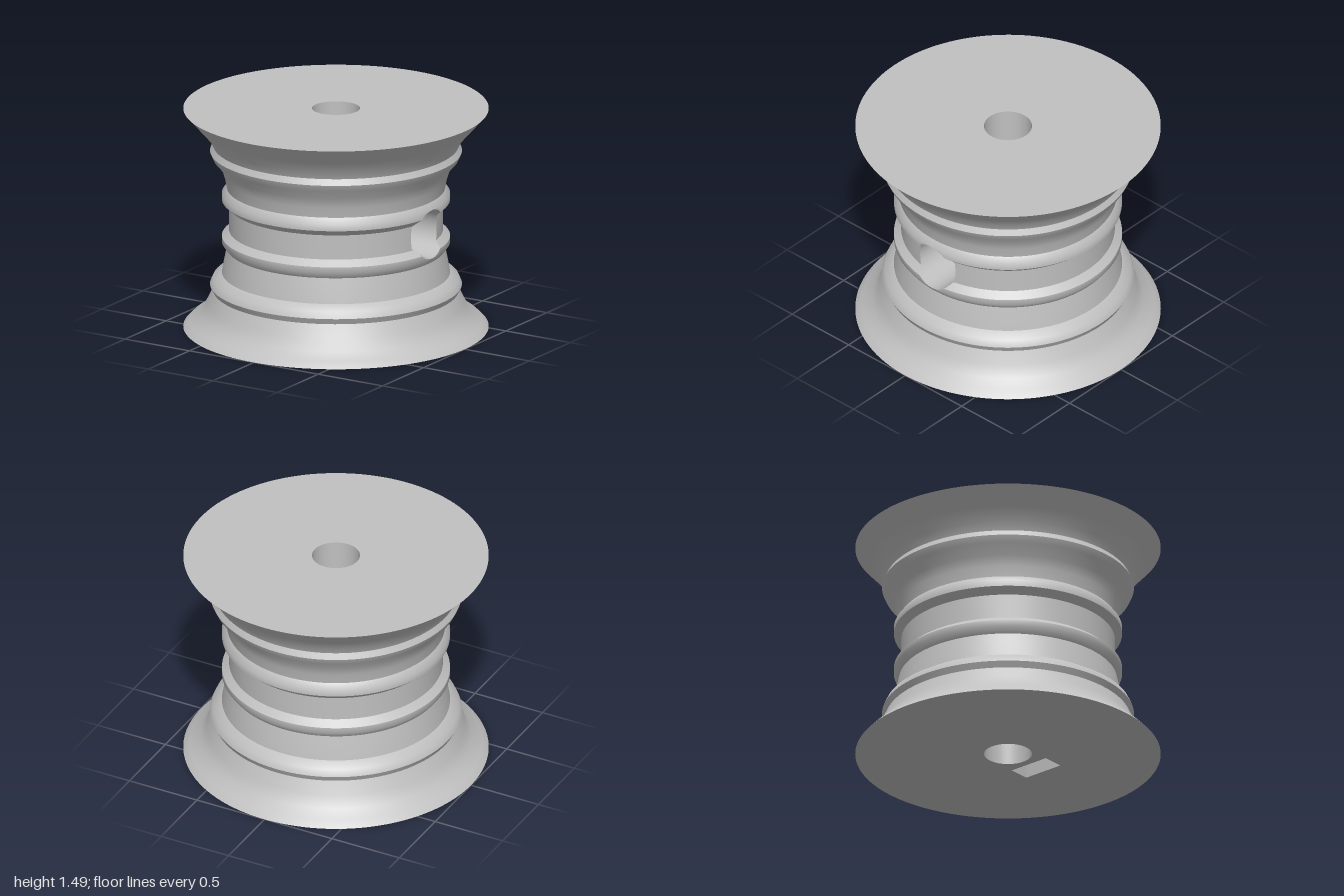
import * as THREE from 'three';
import { mergeGeometries, toCreasedNormals } from 'three/addons/utils/BufferGeometryUtils.js';

const HOLE_Y = 0.745;      // height of the radial screw hole
const HEAD_R = 0.165;      // counterbore radius
const SCREW_R = 0.084;     // screw hole radius
const BORE_R = 0.157;      // axle bore radius
const FLOOR_X = 0.45;      // counterbore floor
const TOP = 1.487;
const SLOT = { x0: 0.21, x1: 0.358, z: 0.147, top: 0.9 };

// Outer profile [radius, height], bottom to top
const PROFILE = [
  [1, 0], [0.957, 0.043], [0.888, 0.085], [0.845, 0.165], [0.805, 0.25], [0.825, 0.29],
  [0.805, 0.335], [0.747, 0.37], [0.735, 0.44], [0.715, 0.537], [0.747, 0.58], [0.747, 0.62],
  [0.7, 0.66], [0.7, HOLE_Y], [0.7, 0.825], [0.747, 0.867], [0.747, 0.91], [0.715, 0.95],
  [0.728, 1.02], [0.75, 1.09], [0.805, 1.155], [0.825, 1.2], [0.805, 1.24],
  [0.83, 1.295], [0.893, 1.37], [1, TOP],
];
const BORE = [[BORE_R, TOP], [BORE_R, HOLE_Y], [BORE_R, 0]];

// Radius of a profile at a height
function radiusAt(profile, y) {
  for (let i = 1; i < profile.length; i++) {
    const [r0, y0] = profile[i - 1], [r1, y1] = profile[i];
    if ((y - y0) * (y - y1) <= 0) return r0 + (r1 - r0) * (y - y0) / (y1 - y0);
  }
  return profile[0][0];
}

// Turned wall with a round hole towards +x: a plain lathe, plus a wedge whose
// rows are pushed away from the hole
function piercedWall(profile, holeR) {
  const toPoints = (list) => list.map(([r, y]) => new THREE.Vector2(r, y));
  const half = Math.asin(holeR / radiusAt(profile, HOLE_Y));
  const parts = [new THREE.LatheGeometry(toPoints(profile), 120, Math.PI / 2 + half, 2 * Math.PI - 2 * half)];
  for (const side of [1, -1]) {
    const rows = profile.filter(([, y]) => (y - HOLE_Y) * side >= 0);
    const columns = 40;
    const wedge = new THREE.LatheGeometry(toPoints(rows), columns, 0, 1);
    const pos = wedge.attributes.position;
    for (let c = 0; c <= columns; c++) {
      const a = half * Math.sin((c / columns - 0.5) * Math.PI);
      let gap = c % columns === 0 ? 0 : holeR;
      for (let k = 0; k < 12 && gap > 0; k++) {
        const z = radiusAt(profile, HOLE_Y + side * gap) * Math.sin(a);
        gap = Math.sqrt(Math.max(0, holeR * holeR - z * z));
      }
      rows.forEach(([, rowY], j) => {
        const y = HOLE_Y + side * Math.max(gap, (rowY - HOLE_Y) * side);
        const r = radiusAt(profile, y);
        pos.setXYZ(c * rows.length + j, r * Math.cos(a), y, -r * Math.sin(a));
      });
    }
    parts.push(wedge);
  }
  return toCreasedNormals(mergeGeometries(parts), 0.7);
}

// Tube along x whose two ends follow x = inner(y, z) and x = outer(y, z)
function radialTube(radius, inner, outer) {
  const geo = new THREE.CylinderGeometry(radius, radius, 1, 96, 1, true);
  geo.rotateZ(-Math.PI / 2);
  const pos = geo.attributes.position;
  for (let i = 0; i < pos.count; i++) {
    const y = pos.getY(i) + HOLE_Y, z = pos.getZ(i);
    pos.setXYZ(i, pos.getX(i) > 0 ? outer(y, z) : inner(y, z), y, z);
  }
  return geo;
}

function circlePath(r, y = 0) {
  return new THREE.Path().absarc(0, y, r, 0, Math.PI * 2, true);
}

function rectangle(Type, x0, y0, x1, y1) {
  return new Type([[x0, y0], [x1, y0], [x1, y1], [x0, y1]].map(([x, y]) => new THREE.Vector2(x, y)));
}

export function createModel() {
  const group = new THREE.Group();
  const grey = new THREE.MeshStandardMaterial({ color: 0xc0c0c0, side: THREE.DoubleSide });
  grey.name = 'light grey';
  const add = (name, geometry) => {
    const mesh = new THREE.Mesh(geometry, grey);
    mesh.name = name;
    group.add(mesh);
    return mesh;
  };
  const onWall = (profile) => (y, z) => Math.sqrt(radiusAt(profile, y) ** 2 - z * z);

  // Turned body and axle bore
  add('groovedBody', piercedWall(PROFILE, HEAD_R));
  add('axleBore', piercedWall(BORE, SCREW_R));

  // Flat end faces; the lower one opens into the nut slot
  add('topFace', new THREE.RingGeometry(BORE_R, 1, 128).rotateX(-Math.PI / 2)).position.y = TOP;
  const base = new THREE.Shape().absarc(0, 0, 1, 0, Math.PI * 2, false);
  base.holes.push(circlePath(BORE_R), rectangle(THREE.Path, SLOT.x0, -SLOT.z, SLOT.x1, SLOT.z));
  add('bottomFace', new THREE.ShapeGeometry(base, 128).rotateX(Math.PI / 2));

  // Counterbored screw hole
  add('counterboreWall', radialTube(HEAD_R, () => FLOOR_X, onWall(PROFILE)));
  add('counterboreFloor', new THREE.RingGeometry(SCREW_R, HEAD_R, 96).rotateY(Math.PI / 2))
    .position.set(FLOOR_X, HOLE_Y, 0);
  add('outerScrewHole', radialTube(SCREW_R, () => SLOT.x1, () => FLOOR_X));
  add('innerScrewHole', radialTube(SCREW_R, onWall(BORE), () => SLOT.x0));

  // Nut slot rising from the base
  const width = SLOT.x1 - SLOT.x0, midX = (SLOT.x0 + SLOT.x1) / 2;
  for (const [x, turn] of [[SLOT.x0, 1], [SLOT.x1, -1]]) {
    const wall = rectangle(THREE.Shape, -SLOT.z, 0, SLOT.z, SLOT.top);
    wall.holes.push(circlePath(SCREW_R, HOLE_Y));
    add('slotWideWall', new THREE.ShapeGeometry(wall, 48).rotateY(turn * Math.PI / 2)).position.x = x;
  }
  for (const side of [1, -1]) {
    const wall = add('slotNarrowWall', new THREE.PlaneGeometry(width, SLOT.top));
    wall.position.set(midX, SLOT.top / 2, side * SLOT.z);
    wall.rotation.y = side > 0 ? Math.PI : 0;
  }
  add('slotRoof', new THREE.PlaneGeometry(width, SLOT.z * 2).rotateX(Math.PI / 2))
    .position.set(midX, SLOT.top, 0);

  return group;
}
